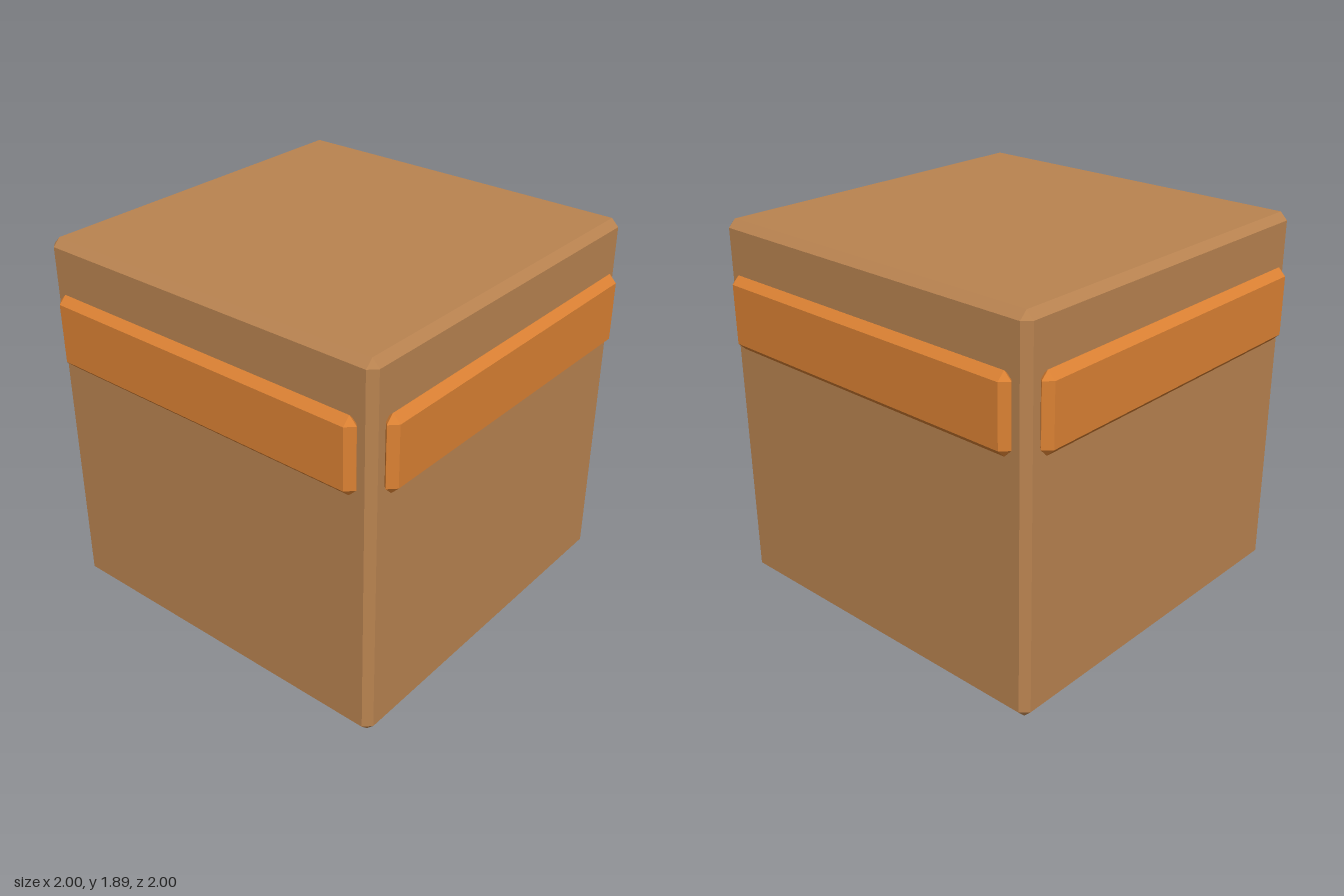
import * as THREE from 'three';
import { ConvexGeometry } from 'three/addons/geometries/ConvexGeometry.js';

// Box with 45-degree chamfers on every edge and a triangle at every corner
function chamferBox(w, h, d, c) {
  const half = [w / 2, h / 2, d / 2];
  const points = [];
  for (const sx of [-1, 1]) for (const sy of [-1, 1]) for (const sz of [-1, 1]) {
    const sign = [sx, sy, sz];
    for (let axis = 0; axis < 3; axis++) {
      const p = half.map((v, i) => sign[i] * (i === axis ? v : v - c));
      points.push(new THREE.Vector3(...p));
    }
  }
  return new ConvexGeometry(points);
}

export function createModel() {
  const model = new THREE.Group();
  model.name = 'crate';
  const wood = new THREE.MeshStandardMaterial({ color: 0xb98350, flatShading: true });
  const orange = new THREE.MeshStandardMaterial({ color: 0xdb8133, flatShading: true });

  // Main cube
  const body = new THREE.Mesh(chamferBox(1.89, 1.89, 1.89, 0.037), wood);
  body.name = 'body';
  body.position.y = 0.945;
  model.add(body);

  // One raised band on each of the four sides
  const bandGeometry = chamferBox(1.76, 0.37, 0.076, 0.037);
  ['frontBand', 'leftBand', 'backBand', 'rightBand'].forEach((name, i) => {
    const angle = i * Math.PI / 2;
    const band = new THREE.Mesh(bandGeometry, orange);
    band.name = name;
    band.position.set(Math.sin(angle) * 0.962, 1.455, Math.cos(angle) * 0.962);
    band.rotation.y = angle;
    model.add(band);
  });

  return model;
}
